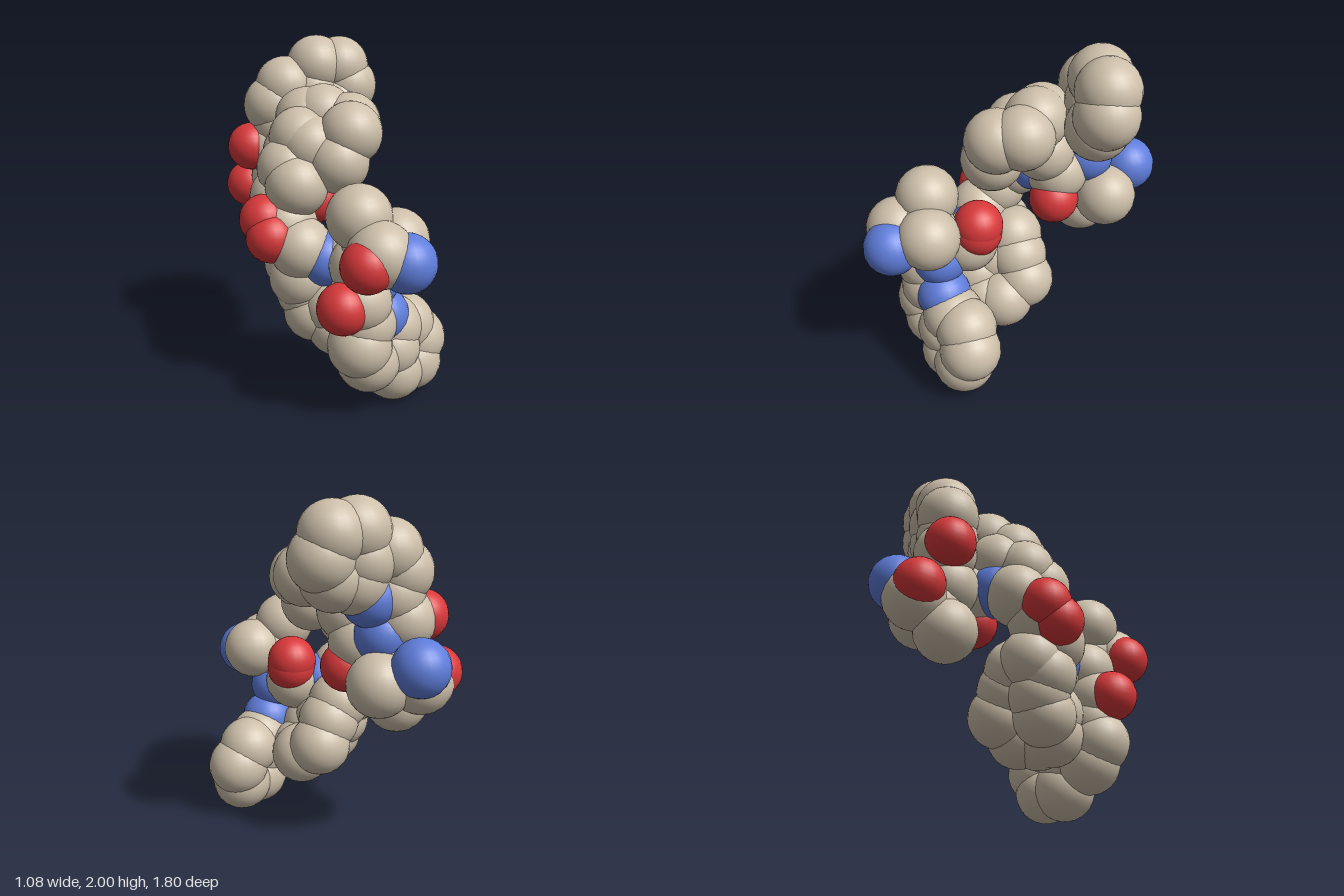
import * as THREE from 'three';

// Element styles: radius and colour
const ELEMENTS = {
  carbon: { radius: 0.18, color: 0xcdbfaa },
  nitrogen: { radius: 0.16, color: 0x5f7ddb },
  oxygen: { radius: 0.144, color: 0xd9383a },
};

// One arm of the two-fold symmetric molecule (the lower, front half)
const ARM = {
  doubleRing: {
    carbon: [
      [0.165, 0.18, 0.46], [0.31, 0.19, 0.43], [0.355, 0.31, 0.405], [0.275, 0.415, 0.40],
      [0.16, 0.44, 0.44], [0.13, 0.33, 0.465], [-0.03, 0.30, 0.50], [-0.10, 0.41, 0.52], [-0.06, 0.53, 0.50],
    ],
    nitrogen: [[0.07, 0.54, 0.465]],
  },
  ringLink: {
    carbon: [[-0.10, 0.67, 0.51]],
    oxygen: [[-0.22, 0.66, 0.54]],
    nitrogen: [[0, 0.75, 0.46]],
  },
  sideBranch: {
    carbon: [
      [-0.06, 0.85, 0.47], [-0.02, 0.98, 0.53], // stem
      [-0.09, 1.13, 0.485], [0.11, 0.985, 0.545], [-0.075, 0.975, 0.67], // three tips
    ],
    oxygen: [[-0.17, 0.935, 0.69]],
  },
  backbone: {
    carbon: [[-0.005, 0.82, 0.28], [-0.24, 0.88, 0.12]],
    oxygen: [[0.06, 0.965, 0.235]],
    nitrogen: [[-0.13, 0.82, 0.19]],
  },
};

// Parts that differ between the two halves
const UNIQUE = {
  core: {
    carbon: [[-0.27, 0.99, 0]],
    oxygen: [[-0.39, 1.03, -0.03], [-0.39, 0.945, 0.05], [0.06, 0.92, 0.24]],
  },
  lowerBranchTip: { nitrogen: [[0.04, 0.93, 0.74]] },
  upperBranchTip: { nitrogen: [[0.005, 1.13, -0.74]] },
  lowerSingleRing: {
    carbon: [
      [0, 0.64, -0.03], [0.08, 0.51, -0.04], [0.10, 0.42, 0.10],
      [0.03, 0.41, 0.19], [-0.08, 0.53, 0.21], [-0.09, 0.62, 0.10],
      [-0.06, 0.41, 0.22], [-0.15, 0.48, 0.11], [-0.17, 0.59, 0.06], // second ring position
      [-0.08, 0.74, -0.03], [-0.21, 0.76, -0.01], [-0.22, 0.69, 0.07], // link to the core
    ],
  },
  upperSingleRing: {
    carbon: [
      [0.08, 1.5, 0.125], [0.15, 1.53, 0], [0.045, 1.57, -0.12],
      [-0.05, 1.48, -0.12], [-0.10, 1.42, -0.01], [0, 1.345, 0.12],
      [-0.03, 1.55, -0.19], [-0.13, 1.46, -0.08], [-0.12, 1.36, -0.18], [0, 1.34, -0.19], // second ring position
      [-0.22, 1.22, 0.04], [-0.22, 1.30, -0.06], // link to the core
    ],
  },
};

export function createModel() {
  const model = new THREE.Group();
  const kit = {};
  for (const [name, { radius, color }] of Object.entries(ELEMENTS)) {
    kit[name] = {
      geometry: new THREE.SphereGeometry(radius, 24, 16),
      material: new THREE.MeshStandardMaterial({ color }),
    };
  }

  // Adds one named group of overlapping balls
  function addPart(name, atoms, place = (p) => p) {
    const part = new THREE.Group();
    part.name = name;
    for (const [element, points] of Object.entries(atoms)) {
      for (const point of points) {
        const ball = new THREE.Mesh(kit[element].geometry, kit[element].material);
        ball.name = element + 'Atom';
        ball.position.set(...place(point));
        part.add(ball);
      }
    }
    model.add(part);
    return part;
  }

  // Half turn about the x axis through the middle of the model
  const halfTurn = ([x, y, z]) => [x, 2 - y, -z];
  for (const [name, atoms] of Object.entries(ARM)) {
    const label = name[0].toUpperCase() + name.slice(1);
    addPart('lower' + label, atoms);
    const upper = addPart('upper' + label, atoms, halfTurn);
    // The upper double ring sits slightly further forward
    if (name === 'doubleRing') upper.position.set(0.012, 0, 0.026);
  }
  for (const [name, atoms] of Object.entries(UNIQUE)) addPart(name, atoms);

  return model;
}
